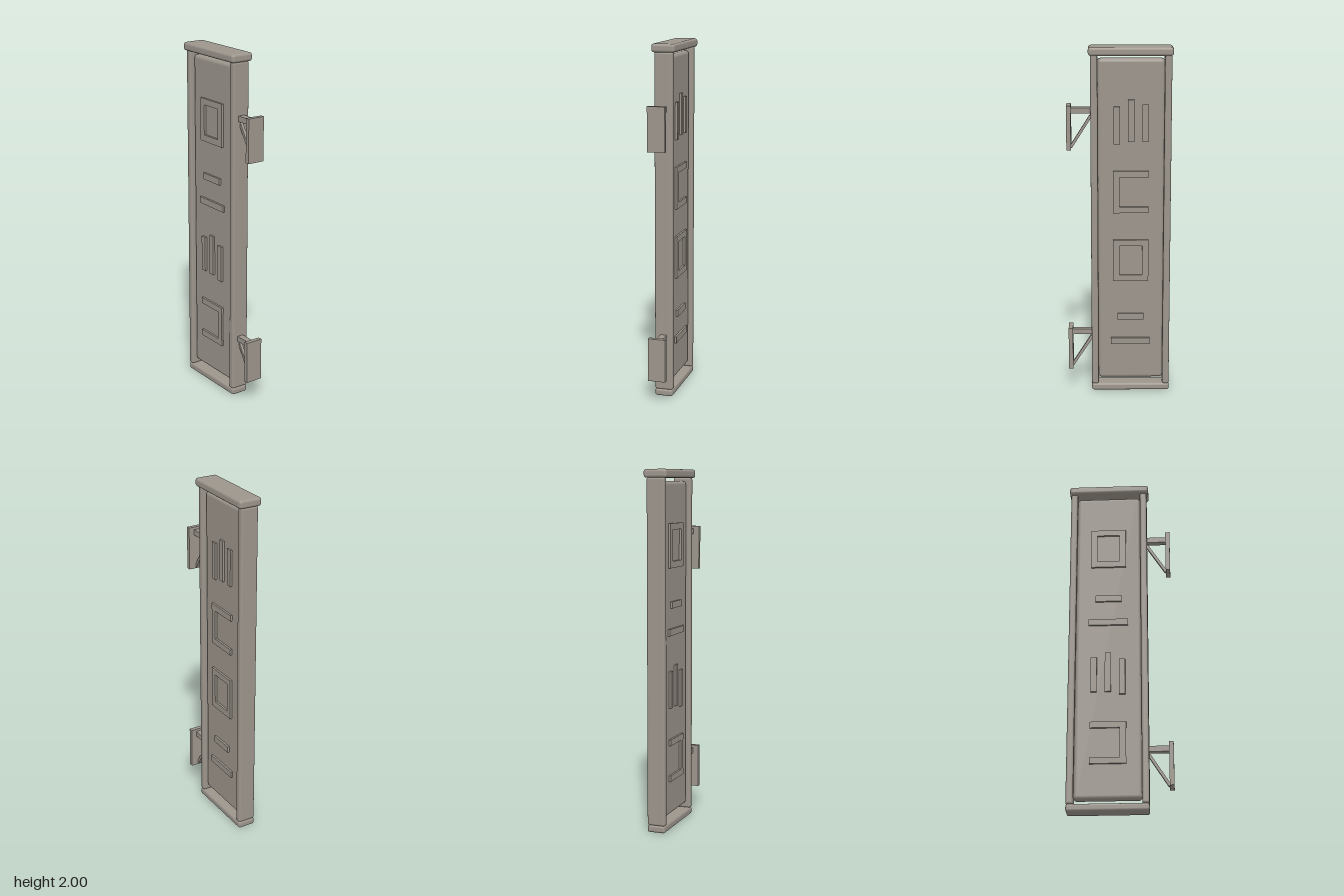
import * as THREE from 'three';
import { RoundedBoxGeometry } from 'three/addons/geometries/RoundedBoxGeometry.js';

export function createModel() {
  const model = new THREE.Group();
  model.name = 'hangingSign';
  const stone = new THREE.MeshStandardMaterial({ color: 0x9c958c });
  stone.name = 'warm grey';

  const add = (parent, name, geometry, x, y, z) => {
    const mesh = new THREE.Mesh(geometry, stone);
    mesh.name = name;
    mesh.position.set(x, y, z);
    parent.add(mesh);
    return mesh;
  };
  // Boxes given by their x and y limits, centred on z
  const rounded = (name, x0, x1, y0, y1, depth, r) =>
    add(model, name, new RoundedBoxGeometry(x1 - x0, y1 - y0, depth, 4, r), (x0 + x1) / 2, (y0 + y1) / 2, 0);
  const box = (parent, name, x0, x1, y0, y1, depth, z = 0) =>
    add(parent, name, new THREE.BoxGeometry(x1 - x0, y1 - y0, depth), (x0 + x1) / 2, (y0 + y1) / 2, z);

  // Frame and panel
  rounded('topCap', -0.295, 0.171, 1.953, 2, 0.133, 0.015);
  rounded('bottomRail', -0.287, 0.16, 0, 0.042, 0.104, 0.013);
  rounded('rightPost', -0.287, -0.248, 0.04, 1.956, 0.104, 0.012);
  rounded('leftPost', 0.121, 0.16, 0.04, 1.956, 0.104, 0.012);
  rounded('panel', -0.249, 0.122, 0.07, 1.935, 0.06, 0.02);

  // Raised glyph strokes: x0, x1, y0, y1 relative to the middle of a slot
  const glyphs = {
    square: [[-0.164, 0.037, 0.087, 0.122], [-0.164, 0.037, -0.122, -0.085],
      [-0.164, -0.129, -0.085, 0.087], [0, 0.037, -0.085, 0.087]],
    dashes: [[-0.138, 0.012, 0.05, 0.087], [-0.175, 0.048, -0.1, -0.063]],
    bars: [[-0.161, -0.127, -0.107, 0.1], [-0.082, -0.048, -0.107, 0.127], [-0.003, 0.032, -0.123, 0.088]],
    bracket: [[-0.164, 0.037, 0.085, 0.12], [-0.164, 0.037, -0.12, -0.085], [0, 0.035, -0.085, 0.085]],
  };
  const slots = [1.585, 1.19, 0.79, 0.385];
  const sides = [
    { name: 'front', z: 0.034, order: ['square', 'dashes', 'bars', 'bracket'] },
    { name: 'back', z: -0.034, order: ['bars', 'bracket', 'square', 'dashes'] },
  ];
  for (const side of sides) {
    side.order.forEach((key, i) => {
      const group = new THREE.Group();
      group.name = `${side.name} ${key} glyph`;
      group.position.set(0, slots[i], side.z);
      for (const [x0, x1, y0, y1] of glyphs[key]) box(group, 'stroke', x0, x1, y0, y1, 0.016);
      model.add(group);
    });
  }

  // Wall mounts: arm, wall plate and diagonal brace
  for (const y of [1.648, 0.352]) {
    const mount = new THREE.Group();
    mount.name = 'wallMount';
    mount.position.y = y;
    box(mount, 'arm', 0.15, 0.272, -0.016, 0.016, 0.036);
    box(mount, 'wallPlate', 0.268, 0.293, -0.216, 0.031, 0.1);
    const a = new THREE.Vector2(0.158, -0.03);
    const b = new THREE.Vector2(0.27, -0.207);
    const brace = add(mount, 'brace', new THREE.BoxGeometry(a.distanceTo(b), 0.016, 0.018),
      (a.x + b.x) / 2, (a.y + b.y) / 2, 0);
    brace.rotation.z = Math.atan2(b.y - a.y, b.x - a.x);
    model.add(mount);
  }
  return model;
}
